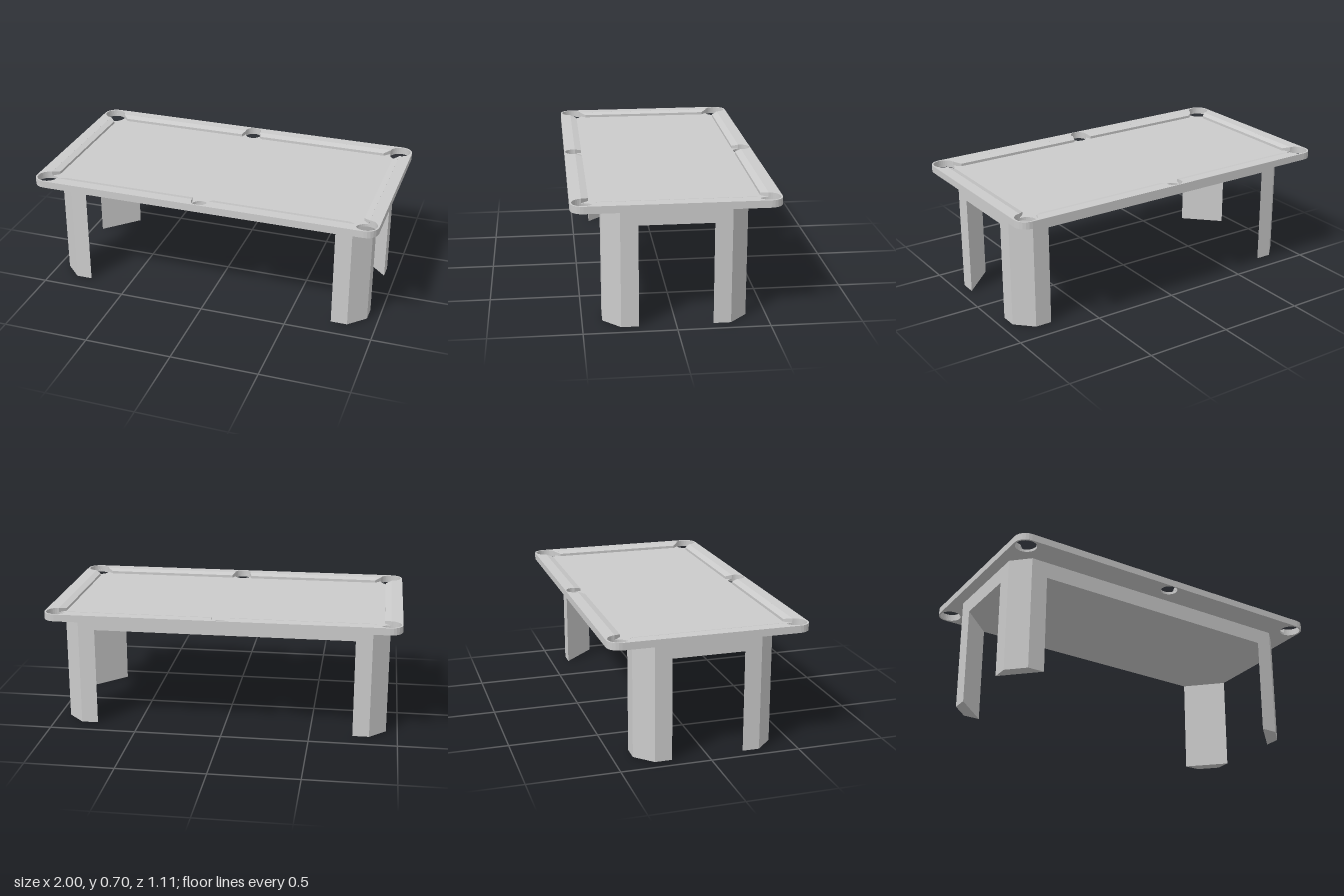
import * as THREE from 'three';

const BED = 0.68, TOP = 0.705, SLAB = 0.665, APRON = 0.57;
const material = new THREE.MeshStandardMaterial({ color: 0xcccccc });

// points of an arc, angles in degrees
function arc(cx, cy, r, from, to, segments) {
  return Array.from({ length: segments + 1 }, (_, i) => {
    const a = THREE.MathUtils.degToRad(from + ((to - from) * i) / segments);
    return new THREE.Vector2(cx + r * Math.cos(a), cy + r * Math.sin(a));
  });
}

// upright prism over a plan outline, from height y0 to y1
function prism(name, points, y0, y1, holes = []) {
  const shape = new THREE.Shape(points);
  shape.holes = holes.map((h) => new THREE.Path(h));
  const geometry = new THREE.ExtrudeGeometry(shape, { depth: y1 - y0, bevelEnabled: false });
  geometry.rotateX(-Math.PI / 2).translate(0, y0, 0);
  const mesh = new THREE.Mesh(geometry, material);
  mesh.name = name;
  return mesh;
}

// cushion with a sloping top; its back edge and nose have different spans
function cushion(backFrom, backTo, noseFrom, noseTo, back, nose) {
  const geometry = new THREE.BoxGeometry(1, 1, 1);
  const p = geometry.attributes.position;
  for (let i = 0; i < p.count; i++) {
    const atNose = p.getZ(i) < 0, atEnd = p.getX(i) > 0, up = p.getY(i) > 0;
    const x = atNose ? (atEnd ? noseTo : noseFrom) : (atEnd ? backTo : backFrom);
    p.setXYZ(i, x, up ? (atNose ? 0.695 : TOP) : BED, atNose ? nose : back);
  }
  geometry.computeVertexNormals();
  const mesh = new THREE.Mesh(geometry, material);
  mesh.name = 'cushion';
  return mesh;
}

export function createModel() {
  const table = new THREE.Group();
  table.name = 'poolTable';

  // outline with rounded corners
  const cx = 0.93, cz = 0.4825;
  const outline = [[1, 1, 0], [-1, 1, 90], [-1, -1, 180], [1, -1, 270]]
    .flatMap(([sx, sz, a]) => arc(sx * cx, sz * cz, 0.07, a, a + 90, 6));

  // pockets in order around the table: centre, radius, open arc
  const pockets = [
    [cx, cz, 0.06, -85, 173],
    [0, 0.5, 0.048, -12, 192],
    [-cx, cz, 0.06, 7, 265],
    [-cx, -cz, 0.06, 95, 353],
    [0, -0.5, 0.048, 168, 372],
    [cx, -cz, 0.06, 187, 445],
  ];

  // playing bed with pocket holes, and the rail around it
  table.add(prism('bed', outline, SLAB, BED,
    pockets.map(([x, z, r, a]) => arc(x, z, r, a, a + 360, 32).slice(0, -1))));
  table.add(prism('rail', outline, BED, TOP,
    [pockets.flatMap(([x, z, r, a, b]) => arc(x, z, r, a, b, 24))]));

  // four long and two short cushions
  const cushions = new THREE.Group();
  cushions.name = 'cushions';
  for (const turn of [0, Math.PI]) {
    const long1 = cushion(0.047, 0.87, 0.06, 0.835, 0.49, 0.452);
    const long2 = cushion(-0.87, -0.047, -0.835, -0.06, 0.49, 0.452);
    const short = cushion(-0.423, 0.423, -0.39, 0.39, 0.935, 0.9);
    long1.rotation.y = long2.rotation.y = turn;
    short.rotation.y = turn + Math.PI / 2;
    cushions.add(long1, long2, short);
  }
  table.add(cushions);

  // body with chamfered corners
  const ox = 0.935, oz = 0.39, c = 0.095;
  const corners = [[1, 1], [-1, 1], [-1, -1], [1, -1]];
  const body = corners.flatMap(([sx, sz]) => {
    const pair = [
      new THREE.Vector2(sx * ox, sz * (oz - c)),
      new THREE.Vector2(sx * (ox - c), sz * oz),
    ];
    return sx * sz > 0 ? pair : pair.reverse();
  });
  table.add(prism('apron', body, APRON, SLAB));

  // corner legs with a diagonal inner face
  for (const [sx, sz] of corners) {
    const plan = [[ox, oz - 2 * c], [ox, oz - c], [ox - c, oz], [ox - 2 * c, oz]]
      .map(([x, z]) => new THREE.Vector2(sx * x, sz * z));
    table.add(prism('leg', plan, 0, APRON));
  }
  return table;
}
